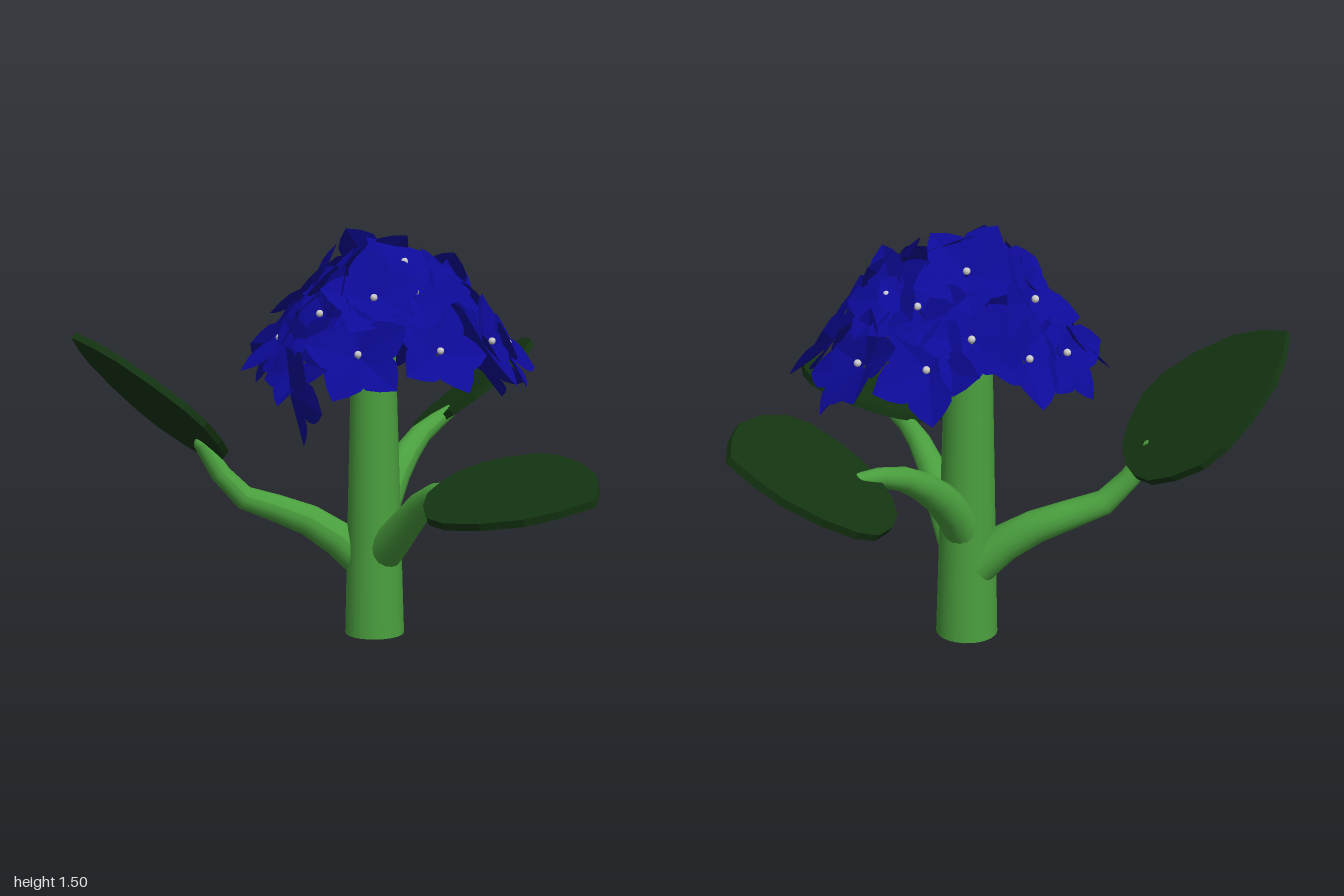
import * as THREE from 'three';
import { mergeGeometries } from 'three/addons/utils/BufferGeometryUtils.js';

const V = (a) => new THREE.Vector3(...a);
const green = new THREE.MeshStandardMaterial({ color: 0x4a9f3e });
const leafGreen = new THREE.MeshStandardMaterial({ color: 0x143512, flatShading: true });
const blue = new THREE.MeshStandardMaterial({ color: 0x0d0a98, flatShading: true, side: THREE.DoubleSide });
const pale = new THREE.MeshStandardMaterial({ color: 0xcccccc });

function add(parent, name, geometry, material) {
  const mesh = new THREE.Mesh(geometry, material);
  mesh.name = name;
  parent.add(mesh);
  return mesh;
}

// Jointed tube along a path, tapering from r0 to r1
function branch(parent, name, path, r0, r1) {
  const segs = 6, sides = 16;
  const curve = new THREE.CatmullRomCurve3(path.map(V));
  const geo = new THREE.TubeGeometry(curve, segs, 1, sides);
  const pos = geo.attributes.position, p = new THREE.Vector3();
  for (let i = 0; i <= segs; i++) {
    const c = curve.getPointAt(i / segs);
    const r = r0 + (r1 - r0) * i / segs;
    for (let j = 0; j <= sides; j++) {
      const k = i * (sides + 1) + j;
      p.fromBufferAttribute(pos, k).sub(c).multiplyScalar(r).add(c);
      pos.setXYZ(k, p.x, p.y, p.z);
    }
  }
  geo.computeVertexNormals();
  add(parent, name, geo, green);
  const tip = add(parent, name + 'Tip', new THREE.SphereGeometry(r1, 12, 8), green);
  tip.position.copy(V(path[path.length - 1]));
}

// Flat leaf slab from base to tip; wide = side of the fuller half
function leaf(parent, name, base, tip, normal, wide) {
  const half = [[0.04, 0], [0.13, 0.04], [0.21, 0.14], [0.275, 0.28], [0.285, 0.42], [0.25, 0.61], [0.18, 0.8], [0.1, 0.91]];
  const b = V(base), along = V(tip).sub(b);
  const length = along.length();
  along.normalize();
  const across = new THREE.Vector3().crossVectors(along, V(normal)).normalize();
  const up = new THREE.Vector3().crossVectors(across, along);
  const scale = (side) => side * (side === wide ? 1.06 : 0.88);
  const pts = half.map(([x, y]) => new THREE.Vector2(x * scale(1), y * length));
  pts.push(new THREE.Vector2(0, length));
  pts.push(...half.map(([x, y]) => new THREE.Vector2(x * scale(-1), y * length)).reverse());
  const geo = new THREE.ExtrudeGeometry(new THREE.Shape(pts), { depth: 0.026, bevelEnabled: false });
  geo.translate(0, 0, -0.013);
  geo.applyMatrix4(new THREE.Matrix4().makeBasis(across, along, up).setPosition(b));
  add(parent, name, geo, leafGreen);
}

// Five broad pointed petals in a shallow star facing +z
function petalGeometry() {
  const width = [0.016, 0.055, 0.077, 0.072, 0.044, 0.001];
  const petals = [];
  for (let n = 0; n < 5; n++) {
    const geo = new THREE.PlaneGeometry(2, 1, 2, 5);
    const pos = geo.attributes.position;
    for (let i = 0; i < pos.count; i++) {
      const v = pos.getY(i) + 0.5, u = pos.getX(i);
      const z = (n % 2 ? 0.06 : 0.025) * v + 0.014 * Math.abs(u) * Math.sin(v * Math.PI);
      pos.setXYZ(i, u * width[Math.round(v * 5)], 0.005 + 0.185 * v, z);
    }
    geo.rotateZ(n * Math.PI * 0.4);
    petals.push(geo);
  }
  return mergeGeometries(petals);
}

export function createModel() {
  const model = new THREE.Group();
  model.name = 'floweringPlant';

  // Stem
  add(model, 'stem', new THREE.CylinderGeometry(0.08, 0.11, 1.12, 24), green).position.set(-0.03, 0.56, -0.28);

  // Side branches
  branch(model, 'frontBranch', [[-0.02, 0.3, -0.25], [-0.02, 0.4, -0.13], [-0.02, 0.55, 0.045], [-0.02, 0.61, 0.19], [-0.02, 0.62, 0.34]], 0.074, 0.026);
  branch(model, 'leftBranch', [[-0.01, 0.4, -0.3], [0.1, 0.55, -0.36], [0.28, 0.69, -0.45], [0.42, 0.74, -0.51], [0.49, 0.755, -0.55]], 0.074, 0.026);
  branch(model, 'rightBranch', [[-0.05, 0.27, -0.32], [-0.13, 0.35, -0.36], [-0.25, 0.44, -0.44], [-0.46, 0.53, -0.53], [-0.58, 0.72, -0.585]], 0.074, 0.03);

  // Leaves
  leaf(model, 'frontLeaf', [-0.01, 0.655, 0.2], [0.06, 0.675, 0.91], [-0.31, 0.95, 0], 1);
  leaf(model, 'leftLeaf', [0.4, 0.7, -0.57], [0.995, 0.98, -0.76], [-0.6, 1, -0.4], 1);
  leaf(model, 'rightLeaf', [-0.49, 0.655, -0.62], [-0.995, 1.13, -0.76], [0.95, 1, 0], -1);

  // Blossoms spread over a dome, each turned outward and up
  const head = new THREE.Group();
  head.name = 'flowerHead';
  model.add(head);
  const petals = petalGeometry();
  const eye = new THREE.SphereGeometry(0.013, 10, 8);
  function blossom(at, normal, spin) {
    const flower = new THREE.Group();
    flower.name = 'blossom';
    add(flower, 'petals', petals, blue).rotation.z = spin;
    add(flower, 'flowerEye', eye, pale).position.z = 0.03;
    flower.position.copy(at);
    flower.lookAt(at.clone().add(normal));
    head.add(flower);
  }
  const places = [
    [0.04, 1.36, -0.2], [0.03, 1.35, -0.385], [0.19, 1.24, -0.375], [0.24, 1.26, -0.25], [0.165, 1.27, -0.09],
    [-0.015, 1.27, -0.03], [-0.17, 1.26, -0.06], [-0.18, 1.31, -0.305], [-0.15, 1.26, -0.49],
    [0.205, 1.1, 0.09], [0.37, 1.07, -0.04], [-0.015, 1.08, 0.11], [-0.28, 1.08, 0.02], [-0.38, 1.05, -0.18],
    [-0.34, 1.1, -0.38], [-0.25, 1.08, -0.53], [-0.08, 1.1, -0.6], [0.22, 1.08, -0.51], [0.37, 1.06, -0.32],
    [0.35, 1.0, -0.15], [0.08, 1.17, -0.54], [-0.28, 1.2, -0.2],
  ];
  places.forEach((p, i) => {
    const tilt = V([Math.sin(i * 2.3), 0, Math.cos(i * 3.1)]).multiplyScalar(0.06);
    blossom(V(p), V([p[0], 0.22, p[2] + 0.25]).add(tilt), i * 1.9);
  });
  // Drooping blossom at the side
  blossom(V([-0.465, 0.95, -0.13]), V([1, 0.1, 0.3]), 0.6);
  return model;
}
